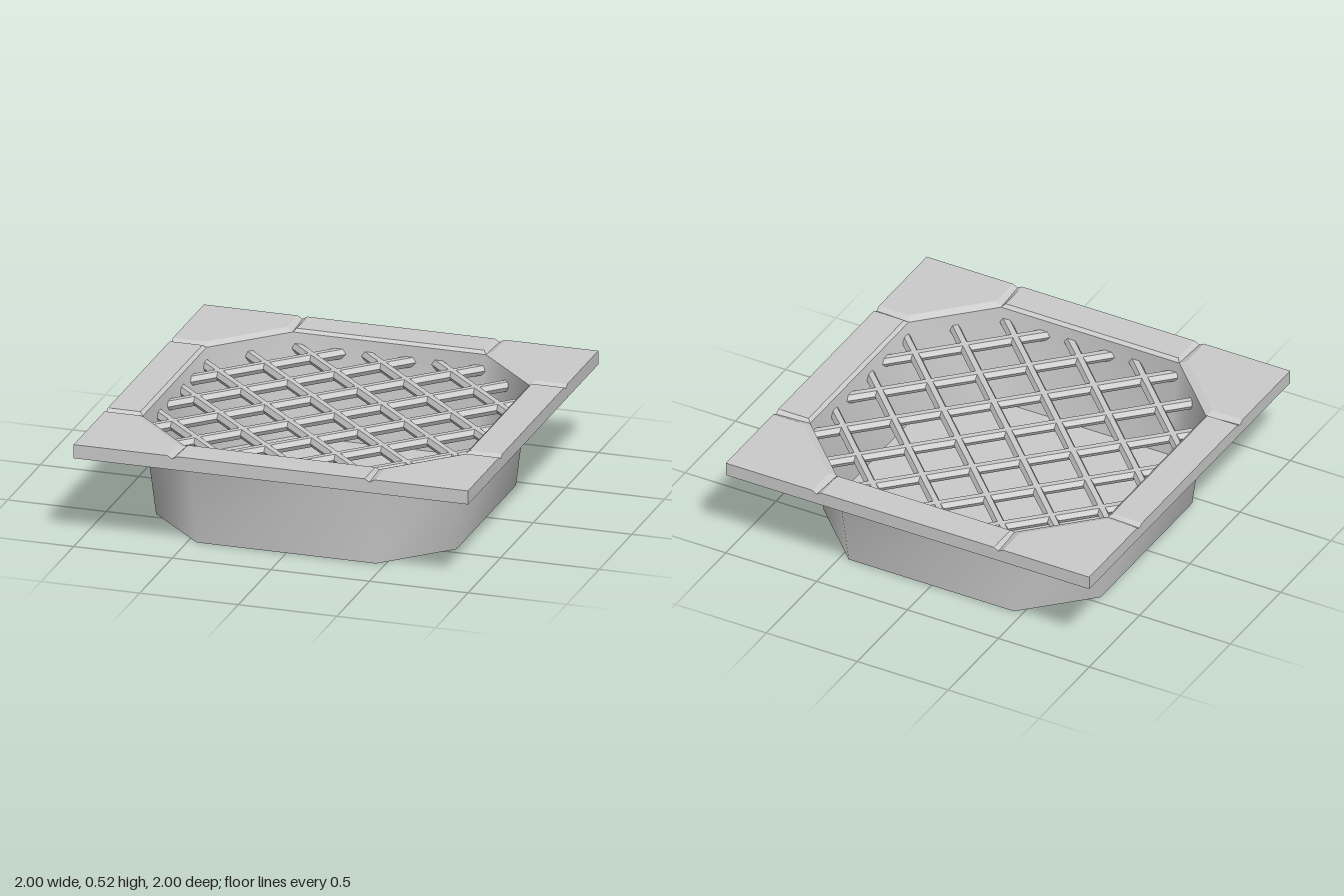
import * as THREE from 'three';

const material = new THREE.MeshStandardMaterial({ color: 0xcccccc, side: THREE.DoubleSide });
const TOP = 0.525, LOW = 0.51, RIM = 0.455;

// Flat convex polygons, each fanned into triangles, corners counter-clockwise from outside
function polygons(list) {
  const pos = [];
  for (const p of list) {
    for (let i = 1; i < p.length - 1; i++) pos.push(...p[0], ...p[i], ...p[i + 1]);
  }
  const g = new THREE.BufferGeometry();
  g.setAttribute('position', new THREE.Float32BufferAttribute(pos, 3));
  g.computeVertexNormals();
  return g;
}

function mesh(name, geometry) {
  const m = new THREE.Mesh(geometry, material);
  m.name = name;
  return m;
}

// Corners of an octagon with flats at distance a and flat half-width b
function octagon(a, b, y) {
  return [[-b, y, a], [b, y, a], [a, y, b], [a, y, -b], [b, y, -a], [-b, y, -a], [-a, y, -b], [-a, y, b]];
}

// One quarter of the hollow frame: side slab, corner slab, V grooves, bevel, outer wall
function frameQuarter() {
  const g = new THREE.Group();
  const a = 0.835, s = 0.475, c = 0.525, ia = 0.818, ib = 0.49;

  g.add(mesh('sideSlab', polygons([
    [[-s, TOP, 1], [s, TOP, 1], [s, TOP, a], [-s, TOP, a]],
  ])));
  g.add(mesh('cornerSlab', polygons([
    [[c, TOP, 1], [1, TOP, 1], [1, TOP, c], [a, TOP, c], [c, TOP, a]],
  ])));
  g.add(mesh('holeBevel', polygons([
    [[-s, TOP, a], [s, TOP, a], [ib, LOW, ia], [-ib, LOW, ia]],
    [[c, TOP, a], [a, TOP, c], [ia, LOW, ib], [ib, LOW, ia]],
  ])));

  const grooves = [];
  for (const m of [1, -1]) {
    const inner = [[s * m, TOP, 1], [0.5 * m, LOW, 1], [ib * m, LOW, ia], [s * m, TOP, a]];
    const outer = [[0.5 * m, LOW, 1], [c * m, TOP, 1], [c * m, TOP, a], [ib * m, LOW, ia]];
    grooves.push(...(m > 0 ? [inner, outer] : [inner.reverse(), outer.reverse()]));
  }
  g.add(mesh('grooves', polygons(grooves)));

  const wall = new THREE.Shape([
    [-1, RIM], [1, RIM], [1, TOP], [c, TOP], [0.5, LOW], [s, TOP],
    [-s, TOP], [-0.5, LOW], [-c, TOP], [-1, TOP],
  ].map(([x, y]) => new THREE.Vector2(x, y)));
  g.add(mesh('outerWall', new THREE.ShapeGeometry(wall).translate(0, 0, 1)));
  return g;
}

// Tapered octagonal basin with smooth walls and a flat floor
function basin() {
  const g = new THREE.Group();
  g.name = 'basin';
  const low = octagon(0.762, 0.455, 0), high = octagon(0.818, 0.49, LOW);
  const index = [];
  for (let i = 0; i < 8; i++) {
    const j = (i + 1) % 8;
    index.push(i, j, 8 + j, i, 8 + j, 8 + i);
  }
  const walls = new THREE.BufferGeometry();
  walls.setAttribute('position', new THREE.Float32BufferAttribute([...low, ...high].flat(), 3));
  walls.setIndex(index);
  walls.computeVertexNormals();
  g.add(mesh('basinWall', walls));
  g.add(mesh('basinFloor', polygons([low.slice().reverse()])));
  return g;
}

// Hexagonal bars crossing on both diagonals
function grate() {
  const g = new THREE.Group();
  g.name = 'grate';
  const pitch = 0.355;
  for (const dir of [1, -1]) {
    for (let k = -3; k <= 3; k++) {
      const off = k * pitch / 2;
      const half = (k === 0 ? 0.665 : 0.852 - Math.abs(off)) * Math.SQRT2;
      const bar = new THREE.CylinderGeometry(0.028, 0.028, 2 * half, 6).toNonIndexed();
      bar.rotateY(Math.PI / 6).rotateX(Math.PI / 2).rotateY(dir * Math.PI / 4);
      bar.computeVertexNormals();
      bar.translate(off, 0.43, -off * dir);
      g.add(mesh('bar', bar));
    }
  }
  return g;
}

export function createModel() {
  const model = new THREE.Group();
  model.name = 'floorDrain';
  const frame = new THREE.Group();
  frame.name = 'frame';
  for (let i = 0; i < 4; i++) {
    const q = frameQuarter();
    q.name = 'frameQuarter';
    q.rotation.y = i * Math.PI / 2;
    frame.add(q);
  }
  model.add(frame, basin(), grate());
  return model;
}
